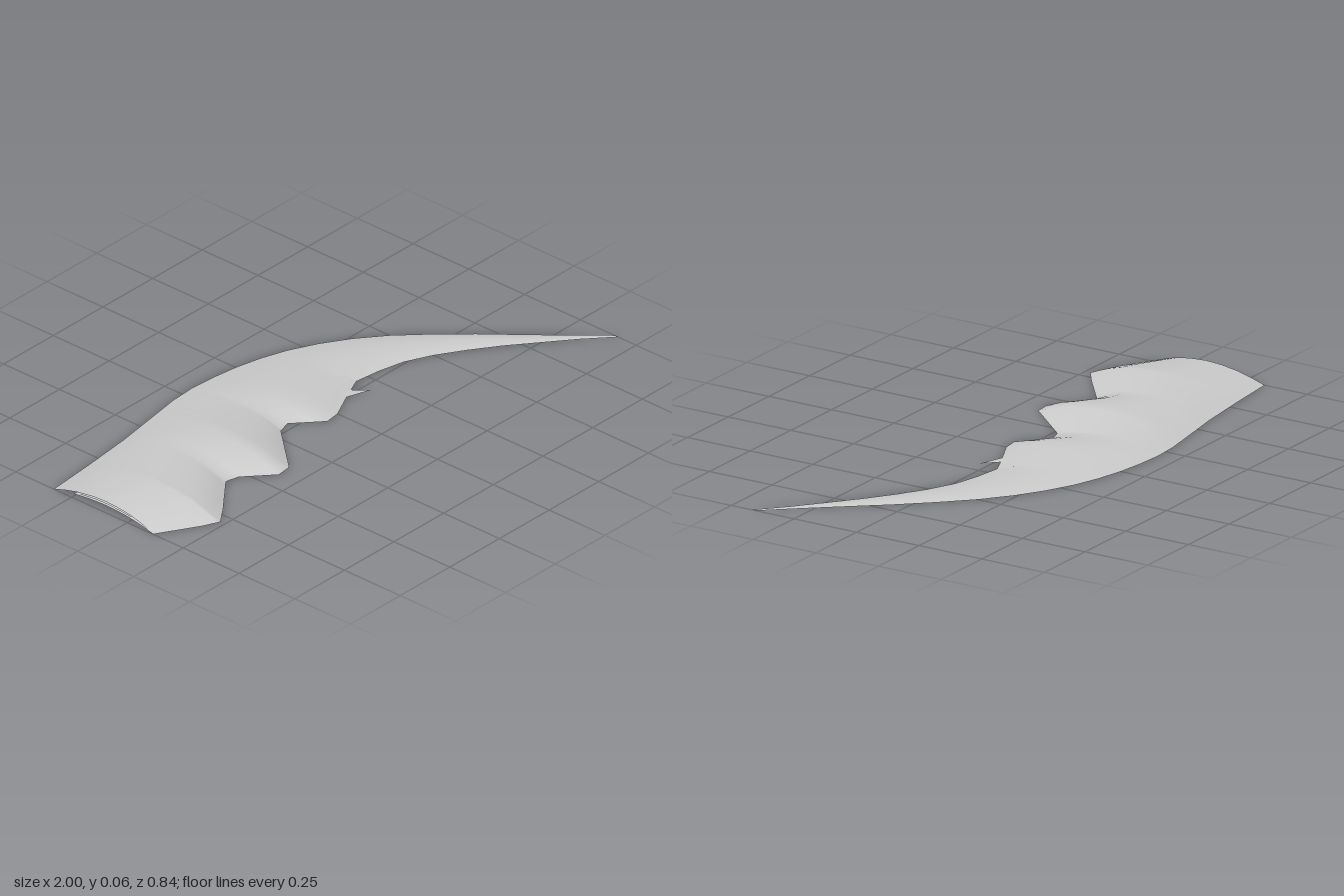
import * as THREE from 'three';

// Piecewise-linear curve through [x, value] points
const curve = (pts) => (x) => {
  if (x <= pts[0][0]) return pts[0][1];
  for (let i = 1; i < pts.length; i++) {
    const [x0, v0] = pts[i - 1], [x1, v1] = pts[i];
    if (x <= x1) return v0 + (v1 - v0) * (x - x0) / (x1 - x0);
  }
  return pts[pts.length - 1][1];
};

// Outline of the wing in plan (z along x)
const leadPts = [[-1, -0.33], [-0.8, -0.348], [-0.6, -0.37], [-0.4, -0.402], [-0.3, -0.418],
  [-0.2, -0.424], [-0.1, -0.418], [0, -0.405], [0.1, -0.383], [0.2, -0.35], [0.3, -0.302],
  [0.4, -0.24], [0.5, -0.16], [0.6, -0.06], [0.7, 0.05], [0.8, 0.17], [0.9, 0.288], [1, 0.402]];
const trailPts = [[-1, 0.115], [-0.85, 0.203], [-0.79, 0.23], [-0.72, 0.18], [-0.58, 0.068],
  [-0.53, 0.08], [-0.43, 0.17], [-0.37, 0.165], [-0.21, -0.015], [-0.16, -0.03], [-0.06, 0.06],
  [0, 0.052], [0.1, 0.003], [0.15, -0.02], [0.2, -0.042], [0.3, -0.03], [0.4, -0.008],
  [0.5, 0.038], [0.6, 0.1], [0.7, 0.17], [0.8, 0.25], [0.9, 0.33], [1, 0.42]];
const lead = curve(leadPts);
const trail = curve(trailPts);
const seam = curve([[-1, -0.22], [-0.62, -0.335], [-0.55, -0.325], [0.2, -0.085]]);

// Arched height: crest per station times a cross-section from trailing to leading edge
const crest = curve([[-1, 0.044], [-0.8, 0.056], [-0.58, 0.046], [-0.4, 0.052], [-0.2, 0.028],
  [-0.05, 0.031], [0.2, 0.016], [0.5, 0.01], [0.85, 0.003], [1, 0.001]]);
const arch = curve([[0, 0], [0.1, 0.42], [0.22, 0.76], [0.35, 0.93], [0.48, 1], [0.6, 0.93],
  [0.75, 0.71], [0.88, 0.38], [1, 0]]);
const height = (x, z) => crest(x) * arch((trail(x) - z) / (trail(x) - lead(x)));

const stations = [...new Set([...leadPts, ...trailPts].map((p) => p[0]))].sort((a, b) => a - b);
const between = (a, b) => [a, ...stations.filter((x) => x > a && x < b), b];

// Thin curved sheet spanning two edges, back edge first
function sheet(name, material, xs, back, front, heightAt, rows = 10) {
  const pos = [], index = [];
  xs.forEach((x, i) => {
    for (let j = 0; j <= rows; j++) {
      const z = back(x) + (front(x) - back(x)) * j / rows;
      pos.push(x, heightAt(x, z), z);
      if (i && j) {
        const d = i * (rows + 1) + j, c = d - 1, b = d - rows - 1, a = b - 1;
        index.push(a, b, d, a, d, c);
      }
    }
  });
  const g = new THREE.BufferGeometry();
  g.setAttribute('position', new THREE.Float32BufferAttribute(pos, 3));
  g.setIndex(index);
  g.computeVertexNormals();
  const mesh = new THREE.Mesh(g, material);
  mesh.name = name;
  return mesh;
}

export function createModel() {
  const group = new THREE.Group();
  group.name = 'wing';
  const grey = new THREE.MeshStandardMaterial({ color: 0xcccccc, side: THREE.DoubleSide });
  grey.name = 'pale grey';

  // Leading feather: back strip on the inner part, full width out to the tip
  const strip = (x) => (x < 0.2 ? Math.min(seam(x), trail(x)) : trail(x));
  group.add(sheet('leadingFeather', grey, between(-1, 1), lead, strip, height));

  // Scalloped covert feathers in front of the seam
  group.add(sheet('scallopedFeathers', grey, between(-1, 0.2), seam, trail, height, 16));

  // Middle layer tucked underneath, ending in a small pointed barb
  const lowBack = (x) => (x < 0.14 ? Math.min(seam(x) + 0.01, -0.02) : -0.02 + (x - 0.14) * 1.08);
  const lowFront = (x) => (x < 0.08 ? Math.min(0.015, trail(x) - 0.01) : 0.003 + (x - 0.1) * 0.34);
  group.add(sheet('barbFeather', grey, between(-1, 0.19), lowBack, lowFront,
    (x, z) => 0.8 * height(x, z) + 0.001));

  // Inner layer below the second scallop
  const innerBack = curve([[-1, -0.24], [-0.6, -0.22], [-0.45, -0.15], [-0.37, -0.07], [-0.31, 0.08]]);
  group.add(sheet('innerFeather', grey, between(-1, -0.31), innerBack,
    (x) => trail(x) - 0.01, (x, z) => 0.65 * height(x, z)));

  return group;
}
